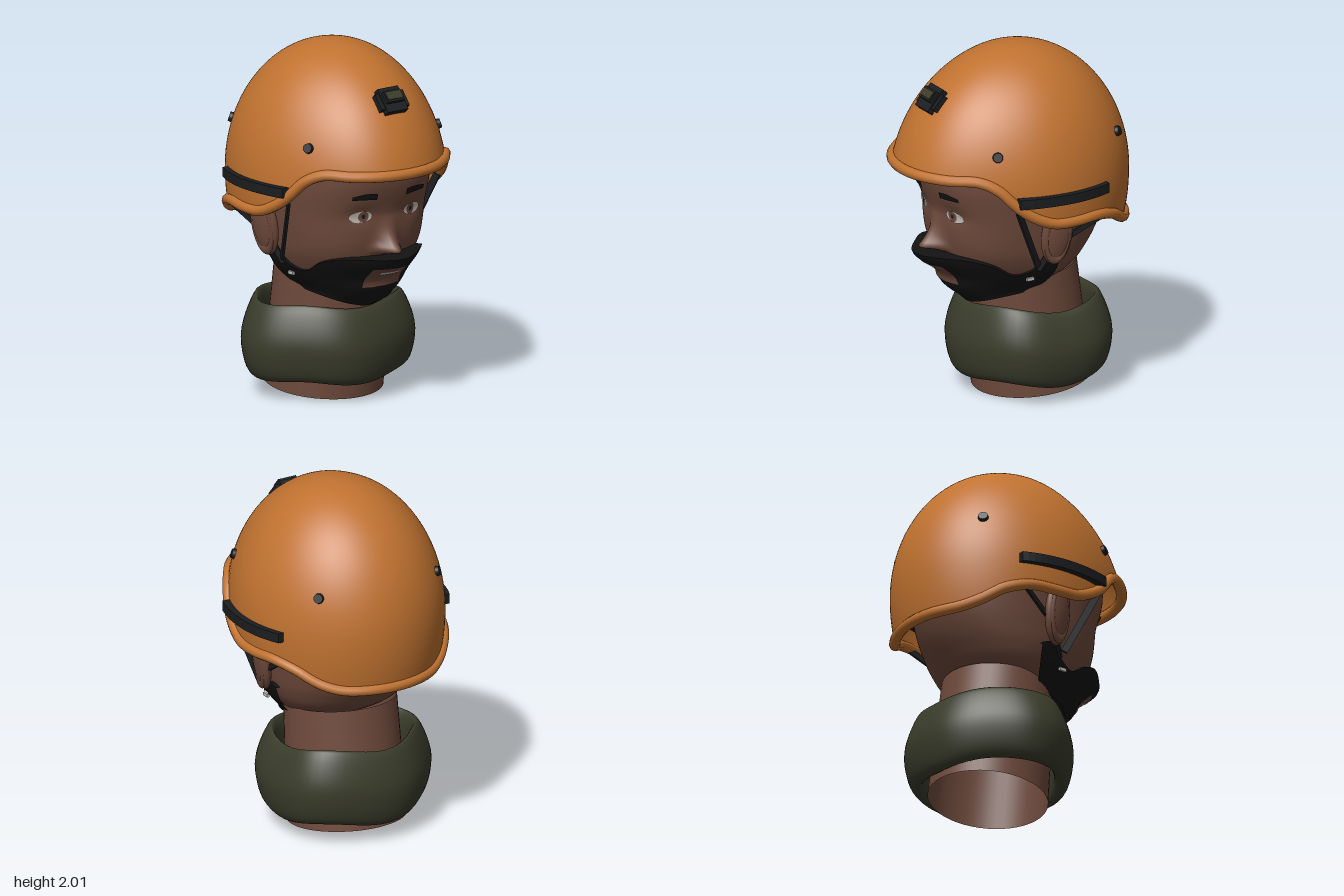
import * as THREE from 'three';
import { mergeVertices, toCreasedNormals } from 'three/addons/utils/BufferGeometryUtils.js';
import { ParametricGeometry } from 'three/addons/geometries/ParametricGeometry.js';

const { smoothstep, lerp, degToRad, clamp } = THREE.MathUtils;
const material = (name, color, side = THREE.FrontSide) => {
  const m = new THREE.MeshStandardMaterial({ color, side });
  m.name = name;
  return m;
};
const spline = (keys, values, size = 1) => {
  const s = new THREE.CubicInterpolant(keys, values, size);
  return (t) => s.evaluate(t);
};
// Smooth surface from a rule (u runs around, v runs upward)
const surface = (rule, nu, nv) => {
  const g = new ParametricGeometry((u, v, p) => p.set(...rule(u, v)), nu, nv);
  g.deleteAttribute('uv');
  g.deleteAttribute('normal');
  const merged = mergeVertices(g);
  merged.computeVertexNormals();
  return merged;
};

// Head cross-sections by height: half width, centre z, front z, back z
const headSection = spline(
  [0.55, 0.58, 0.66, 0.75, 0.85, 0.95, 1.1, 1.3, 1.5, 1.7, 1.85],
  [0.09, 0.16, 0.24, 0.08, 0.18, 0.12, 0.285, 0, 0.275, 0, 0.375, -0.2, 0.355, -0.04, 0.39, -0.36,
    0.4, -0.05, 0.42, -0.45, 0.42, -0.05, 0.44, -0.515, 0.44, -0.05, 0.455, -0.57,
    0.455, -0.05, 0.5, -0.6, 0.44, -0.05, 0.48, -0.55, 0.33, -0.05, 0.3, -0.4, 0.05, -0.05, 0, -0.1], 4);
const gauss = (d, s) => Math.exp(-((d / s) ** 2));
const noseRamp = (t) => 0.14 * (0.45 * t + 0.55 * t ** 3);
const faceBump = (x, y) =>
  noseRamp(clamp((1.1 - y) / 0.195, 0, 1)) * smoothstep(y, 0.86, 0.905) * gauss(x, 0.055)
  + 0.02 * gauss(Math.abs(x) - 0.06, 0.03) * gauss(y - 0.905, 0.03)
  - 0.015 * gauss(Math.abs(x) - 0.175, 0.09) * gauss(y - 1.11, 0.05);
const moustacheBump = (x, y) => 0.14 * smoothstep(y, 0.7, 0.87) * gauss(x, 0.2);
// Fullness of the cheeks and brow corners
const cheek = (a, y) => (Math.cos(a) > 0 ? 1 + 0.085 * smoothstep(y, 0.65, 0.95) * Math.sin(2 * a) ** 2 : 1);
const headPoint = (a, y, off = 0, bump = faceBump) => {
  const [w, zc, zf, zb] = headSection(y);
  const c = Math.cos(a);
  const full = cheek(a, y);
  const x = (w + off) * full * Math.sin(a);
  return [x, y, zc + ((c > 0 ? zf - zc : zc - zb) + off) * full * c + (c > 0 ? bump(x, y) : 0)];
};
// Angle on the head at which the surface reaches a given x
const headAngle = (x, y, off) => {
  const w = headSection(y)[0] + off;
  let a = Math.asin(x / w);
  for (let i = 0; i < 10; i++) a = Math.asin(x / (w * cheek(a, y)));
  return a;
};

// Helmet shell: ellipsoid with a deeper, slightly pointed front half
const SHELL = { y: 1.25, h: 0.75, w: 0.58, zc: -0.045, front: 0.73, back: 0.65 };
const shellDepth = (c) => (c > 0 ? SHELL.front : SHELL.back);
const shellPoint = (a, s) => {
  const k = s > 0 ? Math.sqrt(Math.max(0, 1 - s * s)) : 1 - 0.35 * s * s;
  const c = Math.cos(a);
  const pinch = c > 0 ? 1 - 0.04 * Math.sin(2 * a) ** 2 : 1;
  const slope = c > 0 ? 0.05 * Math.max(0, s) : 0;
  return [SHELL.w * k * pinch * Math.sin(a), SHELL.y + SHELL.h * s, SHELL.zc + (shellDepth(c) - slope) * k * c];
};
const rimY = spline(
  [-0.7, -0.6, -0.5, -0.42, -0.28, -0.1, 0.035, 0.14, 0.22, 0.33, 0.43, 0.55, 0.7],
  [0.975, 0.98, 1.02, 1.07, 1.11, 1.11, 1.12, 1.165, 1.22, 1.33, 1.378, 1.378, 1.378]);
const rimLevel = (a) => {
  const c = Math.cos(a);
  return (rimY(SHELL.zc + shellDepth(c) * c)[0] - SHELL.y) / SHELL.h;
};

export function createModel() {
  const root = new THREE.Group();
  const orange = material('helmet orange', 0xc07230, THREE.DoubleSide);
  const skin = material('skin brown', 0x6f4a3c, THREE.DoubleSide);
  const olive = material('scarf olive', 0x3a3c2b, THREE.DoubleSide);
  const hair = material('beard black', 0x131313, THREE.DoubleSide);
  const gear = material('gear charcoal', 0x1b1d1f);
  const white = material('eye white', 0xc4beb8);
  const lens = material('lens olive', 0x3e3d29);

  const add = (name, geometry, mat, parent = root) => {
    const m = new THREE.Mesh(geometry, mat);
    m.name = name;
    parent.add(m);
    return m;
  };

  // Head and tilted, open-ended neck
  add('head', surface((u, v) => headPoint(u * Math.PI * 2, lerp(0.55, 1.85, v)), 120, 90), skin);
  const neck = add('neck', new THREE.CylinderGeometry(0.315, 0.335, 0.69, 48, 1, true), skin);
  neck.position.set(0, 0.373, -0.114);
  neck.rotation.x = 0.105;

  // Beard shell with closed top and bottom edges
  const beardTop = spline([0, 20, 35, 50, 64, 78, 87, 97], [0.87, 0.87, 0.87, 0.84, 0.77, 0.8, 0.865, 0.85]);
  const ROWS = 18;
  const beard = surface((u, v) => {
    const deg = lerp(-96, 96, u);
    const i = Math.round(v * ROWS);
    const t = clamp((i - 1) / (ROWS - 2), 0, 1);
    const y = lerp(0.55 + 0.095 * smoothstep(Math.abs(deg), 10, 95), beardTop(Math.abs(deg))[0], t);
    const p = i === 0 || i === ROWS
      ? headPoint(degToRad(deg), y, -0.02, () => 0)
      : headPoint(degToRad(deg), y, 0.025, moustacheBump);
    if (t === 0) p[1] -= 0.01;
    return p;
  }, 64, ROWS);
  add('beard', toCreasedNormals(beard, 0.9), hair);

  // Thin plates that follow the face or beard
  const plate = (name, geometry, x, y, mat, lift, off = 0, bump = faceBump) => {
    const pos = geometry.attributes.position;
    for (let i = 0; i < pos.count; i++) {
      const px = pos.getX(i) + x, py = pos.getY(i) + y;
      pos.setXYZ(i, px, py, headPoint(headAngle(px, py, off), py, off, bump)[2] + lift);
    }
    geometry.computeVertexNormals();
    return add(name, geometry, mat);
  };
  const disc = (rx, ry) => new THREE.CircleGeometry(1, 24).scale(rx, ry, 1);
  plate('mouthPatch', new THREE.PlaneGeometry(0.25, 0.125, 12, 6), 0, 0.745, skin, 0.006, 0.025, moustacheBump);
  plate('teeth', new THREE.PlaneGeometry(0.14, 0.02, 8, 1), 0, 0.77, white, 0.012, 0.025, moustacheBump);

  for (const s of [-1, 1]) {
    const side = s > 0 ? 'left' : 'right';
    // Eye and eyebrow
    plate(side + 'Eye', disc(0.067, 0.034), s * 0.173, 1.105, white, 0.008);
    plate(side + 'Iris', disc(0.03, 0.032), s * 0.16, 1.107, skin, 0.012);
    plate(side + 'Pupil', disc(0.011, 0.013), s * 0.16, 1.107, gear, 0.015);
    const brow = new THREE.PlaneGeometry(0.145, 0.036, 10, 1);
    const bp = brow.attributes.position;
    for (let i = 0; i < bp.count; i++) {
      const t = (bp.getX(i) * s) / 0.0725;
      bp.setY(i, bp.getY(i) * (t > 0 ? 1 - 0.4 * t : 1) + 0.006 * (1 - t * t));
    }
    plate(side + 'Eyebrow', brow, s * 0.172, 1.222, hair, 0.01);

    // Ear with raised outer fold
    const ear = new THREE.Group();
    ear.name = side + 'Ear';
    ear.position.set(s * 0.483, 1.02, -0.04);
    ear.rotation.set(-0.08, s * -0.2, s * -0.15);
    root.add(ear);
    add('earLobe', new THREE.SphereGeometry(1, 24, 18).scale(0.045, 0.185, 0.09), skin, ear);
    const fold = new THREE.TorusGeometry(0.07, 0.015, 8, 32).rotateY(Math.PI / 2).scale(1, 2.1, 0.9);
    add('earFold', fold, skin, ear).position.x = s * 0.02;

    // Chin straps and buckle
    const strap = (name, from, to, width) => {
      const a = new THREE.Vector3(s * from[0], from[1], from[2]);
      const b = new THREE.Vector3(s * to[0], to[1], to[2]);
      const m = add(side + name, new THREE.BoxGeometry(0.014, width, a.distanceTo(b)), gear);
      m.position.copy(a).add(b).multiplyScalar(0.5);
      m.lookAt(b);
    };
    strap('FrontStrap', [0.51, 1.2, 0.22], [0.43, 0.83, 0.05], 0.04);
    strap('RearStrap', [0.53, 1.1, -0.3], [0.46, 0.95, -0.04], 0.032);
    strap('LowerStrap', [0.46, 0.95, -0.04], [0.41, 0.8, 0.04], 0.032);
    add(side + 'Buckle', new THREE.BoxGeometry(0.014, 0.018, 0.045), white).position.set(s * 0.385, 0.745, 0.075);

    // Curved accessory rail
    const arc = (x, grow) => Array.from({ length: 17 }, (_, i) => {
      const a = degToRad(lerp(67.5, 116, i / 16));
      const c = Math.cos(a);
      return new THREE.Vector2(s * (x * Math.sin(a)), -(SHELL.zc + (shellDepth(c) + grow) * c));
    });
    const outline = new THREE.Shape([...arc(0.616, 0.01), ...arc(0.555, 0).reverse()]);
    const rail = new THREE.ExtrudeGeometry(outline, { depth: 0.055, bevelEnabled: false });
    add(side + 'Rail', rail.rotateX(-Math.PI / 2).translate(0, 1.233, 0), gear);
  }

  // Helmet shell and rolled rim
  add('helmetShell', surface((u, v) => {
    const a = u * Math.PI * 2;
    return shellPoint(a, Math.sin(lerp(Math.asin(rimLevel(a)), Math.PI / 2, v)));
  }, 96, 40), orange);
  const rimPoints = Array.from({ length: 72 }, (_, i) => {
    const a = (i / 72) * Math.PI * 2;
    return new THREE.Vector3(...shellPoint(a, rimLevel(a)));
  });
  const rimCurve = new THREE.CatmullRomCurve3(rimPoints, true);
  add('helmetRim', new THREE.TubeGeometry(rimCurve, 160, 0.031, 10, true), orange);

  // Fittings that sit on the shell, facing outward
  const onShell = (name, degrees, y) => {
    const a = degToRad(degrees);
    const s = (y - SHELL.y) / SHELL.h;
    const g = new THREE.Group();
    g.name = name;
    g.position.set(...shellPoint(a, s));
    const { x, z } = g.position;
    const n = new THREE.Vector3(x / SHELL.w ** 2, s / SHELL.h, (z - SHELL.zc) / shellDepth(Math.cos(a)) ** 2);
    g.lookAt(n.add(g.position));
    root.add(g);
    return g;
  };
  for (const degrees of [57.5, 135.4, -135.4, -57.5]) {
    const bolt = onShell('bolt', degrees, 1.515);
    add('boltHead', new THREE.CylinderGeometry(0.026, 0.031, 0.03, 20).rotateX(Math.PI / 2), gear, bolt).position.z = 0.004;
  }
  const mount = onShell('frontMount', 0, 1.748);
  const block = (name, w, h, d, y, z, mat) =>
    add(name, new THREE.BoxGeometry(w, h, d), mat, mount).position.set(0, y, z);
  block('mountWings', 0.19, 0.1, 0.04, 0, 0.003, gear);
  block('mountBody', 0.14, 0.15, 0.045, 0, 0.008, gear);
  block('mountLatch', 0.115, 0.07, 0.03, 0.01, 0.038, gear);
  block('mountLens', 0.1, 0.045, 0.006, 0.01, 0.055, lens);

  // Neck scarf: rounded loop with soft folds
  const profile = new THREE.CatmullRomCurve3([
    [0.77, 0.15], [0.84, 0.105], [0.94, 0.15], [1, 0.31], [0.93, 0.45], [0.82, 0.54], [0.765, 0.49], [0.76, 0.32],
  ].map(([r, y]) => new THREE.Vector3(r, y, 0)), true);
  add('scarf', surface((u, v) => {
    const a = u * Math.PI * 2;
    const p = profile.getPoint(v);
    const r = p.x * (1 + 0.025 * Math.sin(3 * a) - 0.025 * Math.sin(5 * a));
    const y = p.y + 0.013 * Math.cos(4 * a + Math.PI) + 0.008 * Math.sin(3 * a);
    return [0.495 * r * Math.sin(a), y, -0.125 + 0.45 * r * Math.cos(a)];
  }, 64, 32), olive);

  return root;
}
